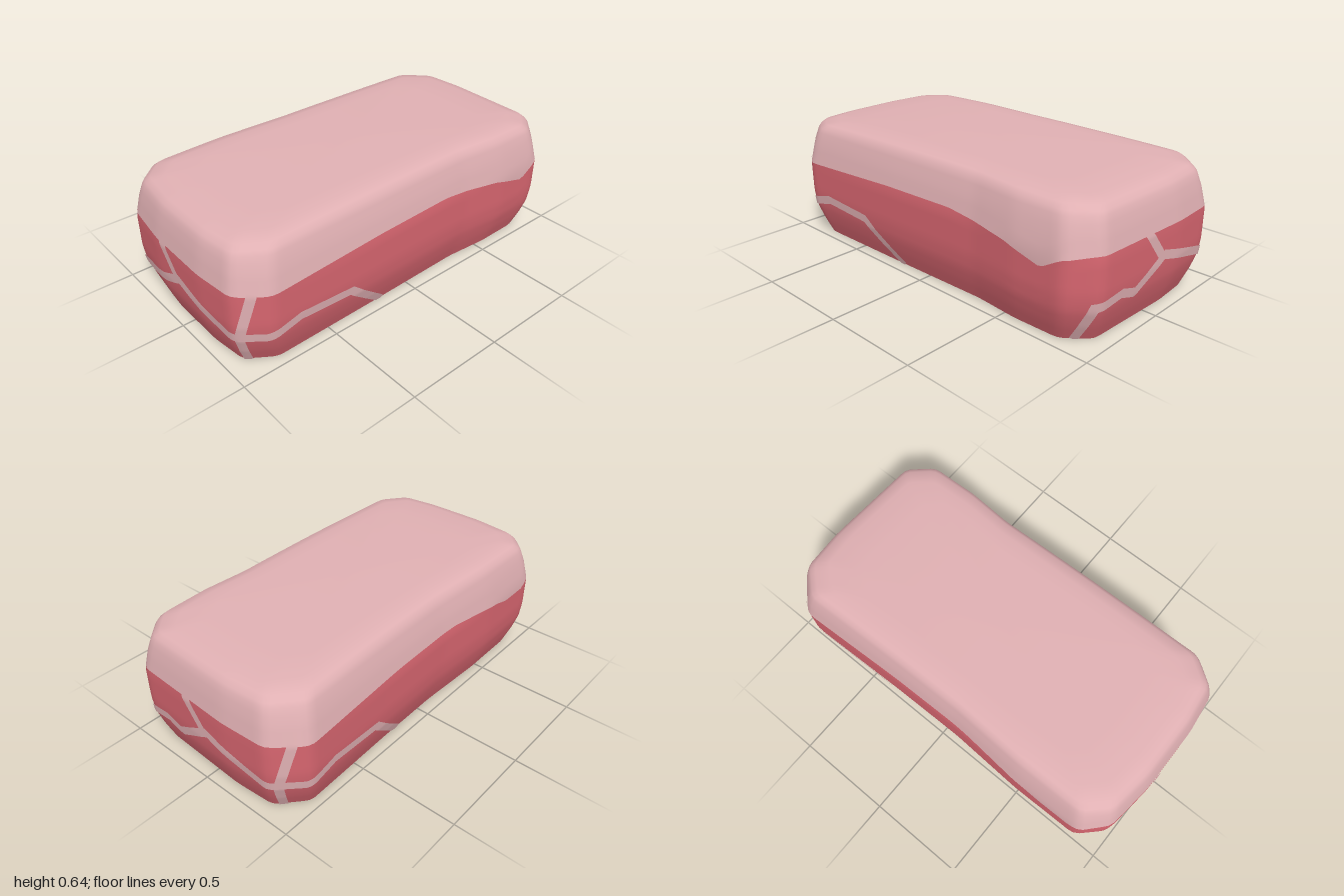
import * as THREE from 'three';
import { toCreasedNormals, mergeVertices } from 'three/addons/utils/BufferGeometryUtils.js';

// Widest outline [x, z], starting at the front and running towards +x
const OUTLINE = [
  [0, 1], [0.2, 1], [0.41, 0.975], [0.51, 0.84], [0.5, 0.2], [0.487, -0.35], [0.508, -0.6],
  [0.502, -0.86], [0.39, -0.98], [-0.15, -1], [-0.39, -0.985], [-0.518, -0.85], [-0.502, -0.3],
  [-0.497, 0.1], [-0.515, 0.5], [-0.51, 0.86], [-0.4, 0.97], [-0.15, 1], [0, 1],
];
// Inset of the sides at each height [y, inset]
const PROFILE = [[0, 0.065], [0.08, 0.034], [0.16, 0.01], [0.24, 0.001], [0.4, 0], [0.5, 0.02], [0.58, 0.044]];
// Height of the fat edge along one half of the perimeter [s, y]
const FAT_EDGE = [
  [-0.41, 0.415], [0.41, 0.405], [0.5, 0.4], [0.62, 0.4], [1.2, 0.425], [1.62, 0.43],
  [1.8, 0.41], [1.97, 0.39], [2.17, 0.335], [2.27, 0.395], [2.42, 0.415],
];

const STEPS = 192;
const lengths = [0];
for (let i = 1; i < OUTLINE.length; i++) {
  const [a, b] = [OUTLINE[i - 1], OUTLINE[i]];
  lengths.push(lengths[i - 1] + Math.hypot(b[0] - a[0], b[1] - a[1]));
}
const TOTAL = lengths[lengths.length - 1];
const HALF = TOTAL / 2;
const wrap = (s) => ((s % TOTAL) + TOTAL) % TOTAL;

function lookup(table, v) {
  if (v <= table[0][0]) return table[0][1];
  for (let i = 1; i < table.length; i++) {
    const [a, b] = [table[i - 1], table[i]];
    if (v <= b[0]) return a[1] + (b[1] - a[1]) * (v - a[0]) / (b[0] - a[0]);
  }
  return table[table.length - 1][1];
}

const xTable = OUTLINE.map((p, i) => [lengths[i], p[0]]);
const zTable = OUTLINE.map((p, i) => [lengths[i], p[1]]);

// Outline point with slightly rounded corners, pulled in by an inset
function ring(s, inset, y) {
  let x = 0, z = 0;
  for (const d of [-0.024, -0.008, 0.008, 0.024]) {
    x += lookup(xTable, wrap(s + d)) / 4;
    z += lookup(zTable, wrap(s + d)) / 4;
  }
  return new THREE.Vector3(x * (1 - inset / 0.515), y, z * (1 - inset));
}
const side = (s, y) => ring(s, lookup(PROFILE, y), Math.max(0, y));

function fatEdge(s) {
  const w = wrap(s + 0.41) - 0.41;
  if (w < HALF - 0.41) return lookup(FAT_EDGE, w);
  return Math.max(0.365, lookup(FAT_EDGE, w - HALF));
}

// Grid surface: point(i, j), i running to the right and j upwards as seen from outside
function grid(nu, nv, point) {
  const pos = [], index = [];
  for (let j = 0; j <= nv; j++)
    for (let i = 0; i <= nu; i++) pos.push(...point(i, j).toArray());
  for (let j = 0; j < nv; j++)
    for (let i = 0; i < nu; i++) {
      const a = j * (nu + 1) + i, d = a + nu + 1;
      index.push(a, a + 1, d + 1, a, d + 1, d);
    }
  const g = new THREE.BufferGeometry();
  g.setAttribute('position', new THREE.Float32BufferAttribute(pos, 3));
  g.setIndex(index);
  return g;
}
const soften = (g) => toCreasedNormals(mergeVertices(g, 1e-5), 0.7);
const around = (i) => ((i % STEPS) / STEPS) * TOTAL;

// Mitred ribbon of fat following a path [s, y] just above the sides
function veinGeometry(path, halfWidth = 0.022) {
  const pts = path.map((p) => new THREE.Vector2(...p));
  const normal = (a, b) => new THREE.Vector2(a.y - b.y, b.x - a.x).normalize();
  const miters = pts.map((p, i) => {
    const n0 = normal(pts[Math.max(0, i - 1)], pts[Math.max(1, i)]);
    const n1 = i < pts.length - 1 ? normal(p, pts[i + 1]) : n0;
    const m = n0.clone().add(n1).normalize();
    return m.multiplyScalar(halfWidth / Math.max(0.6, m.dot(n1)));
  });
  const samples = [];
  for (let i = 0; i < pts.length - 1; i++) {
    const n = Math.ceil(pts[i].distanceTo(pts[i + 1]) / 0.012);
    for (let k = i ? 1 : 0; k <= n; k++)
      samples.push([pts[i].clone().lerp(pts[i + 1], k / n), miters[i].clone().lerp(miters[i + 1], k / n)]);
  }
  return grid(samples.length - 1, 4, (i, j) => {
    const [c, m] = samples[i];
    const s = c.x + m.x * (j / 2 - 1), y = Math.max(0, c.y + m.y * (j / 2 - 1));
    const ds = side(s + 0.01, y).sub(side(s - 0.01, y));
    const dy = side(s, y + 0.02).sub(side(s, Math.max(0, y - 0.02)));
    return side(s, y).addScaledVector(ds.cross(dy).normalize(), 0.004);
  });
}

export function createModel() {
  const model = new THREE.Group();
  model.name = 'meatBlock';
  const meat = new THREE.MeshStandardMaterial({ color: 0xd6656f });
  meat.name = 'red meat';
  const fat = new THREE.MeshStandardMaterial({ color: 0xe0b0b3 });
  fat.name = 'pink fat';
  const add = (name, geometry, material, parent = model) => {
    const mesh = new THREE.Mesh(geometry, material);
    mesh.name = name;
    parent.add(mesh);
  };

  // Lean lower body
  add('leanMeat', soften(grid(STEPS, 14, (i, j) => {
    const s = around(i);
    return side(s, fatEdge(s) * j / 14);
  })), meat);

  // Fat layer: sides, rounded shoulder, then a gently domed top
  const shoulder = [[0.05, 0.598], [0.072, 0.617], [0.13, 0.63]];
  const shrink = [0.8, 0.55, 0.3, 0];
  add('fatLayer', soften(grid(STEPS, 12, (i, j) => {
    const s = around(i);
    if (j <= 5) {
      const y0 = fatEdge(s);
      return side(s, y0 + (0.565 - y0) * j / 5);
    }
    const [inset, y] = shoulder[Math.min(j - 6, 2)];
    const p = ring(s, inset, y);
    if (j > 8) {
      const k = shrink[j - 9];
      p.set(p.x * k, 0.637 - 0.007 * k, p.z * k);
    }
    p.y -= 0.02 * p.z * p.z;
    return p;
  })), fat);

  // Flat underside
  add('underside', soften(grid(STEPS, 1, (i, j) => side(around(i), 0).multiplyScalar(j))), fat);

  // Veins of fat; the far half repeats the near half turned round
  const veins = new THREE.Group();
  veins.name = 'fatVeins';
  model.add(veins);
  const starts = [
    [[-0.49, 0], [-0.41, 0.155], [-0.1, 0.225]],
    [[-0.49, 0], [-0.42, 0.185], [-0.26, 0.205], [-0.17, 0.175]],
  ];
  starts.forEach((start, h) => {
    const paths = {
      mainVein: [...start, [0.03, 0.285], [0.38, 0.185], [0.55, 0.18], [0.72, 0.222], [1.01, 0.2], [1.23, 0]],
      upperBranch: [[0.01, 0.285], [-0.1, 0.425]],
      cornerVein: [[0.44, 0], [0.43, 0.18], [0.5, 0.415]],
    };
    for (const [name, path] of Object.entries(paths)) {
      const g = veinGeometry(path.map(([s, y]) => [s + h * HALF, y]));
      g.computeVertexNormals();
      add(name, g, fat, veins);
    }
  });
  return model;
}
